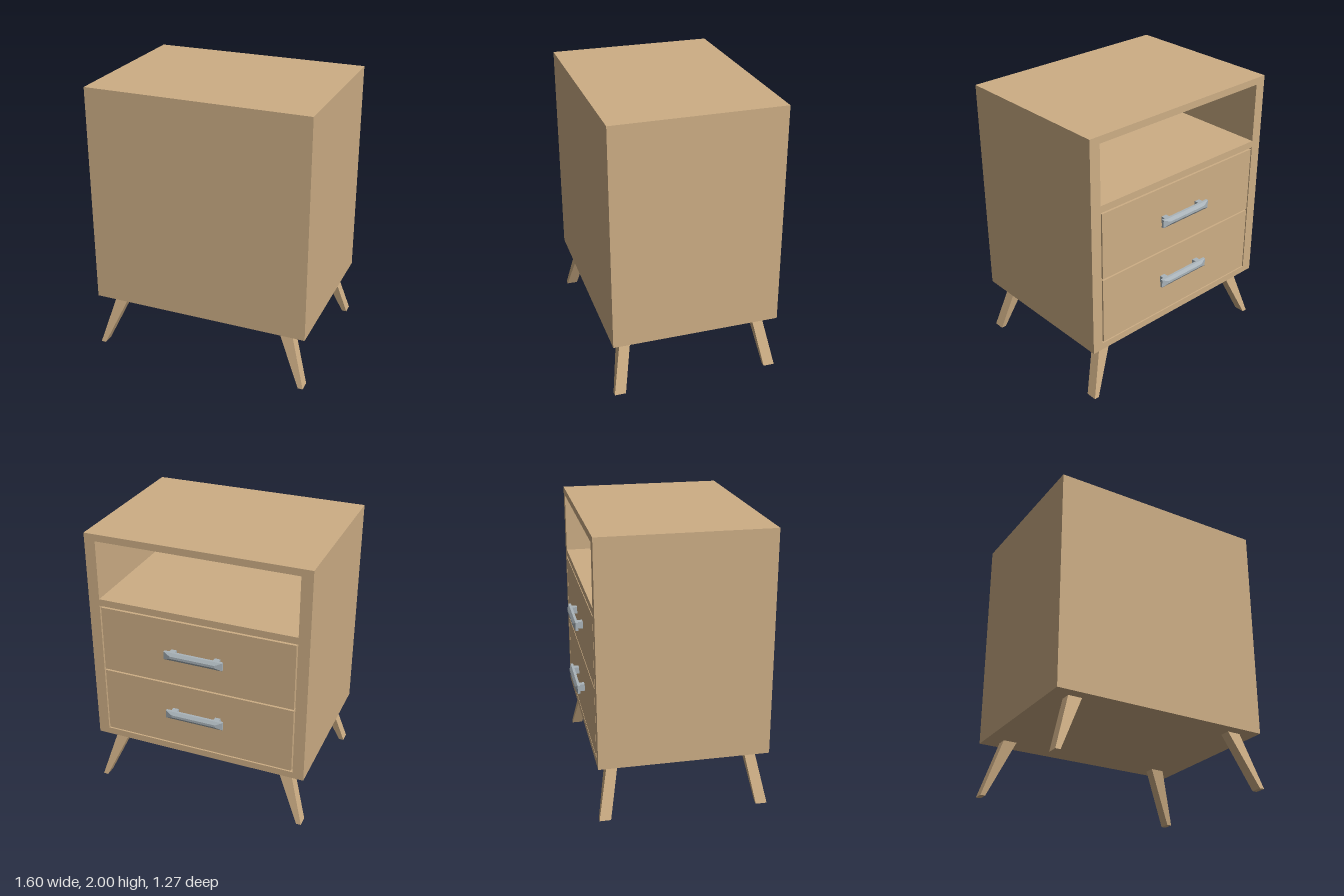
import * as THREE from 'three';

const wood = new THREE.MeshStandardMaterial({ color: 0xcdae85 });
wood.name = 'wood';
const metal = new THREE.MeshStandardMaterial({ color: 0xaab4ba });
metal.name = 'metal';

// Box given by its limits on each axis
function box(name, material, x0, x1, y0, y1, z0, z1) {
  const mesh = new THREE.Mesh(new THREE.BoxGeometry(x1 - x0, y1 - y0, z1 - z0), material);
  mesh.position.set((x0 + x1) / 2, (y0 + y1) / 2, (z0 + z1) / 2);
  mesh.name = name;
  return mesh;
}

// Box whose eight corners are moved by a rule taking signs (-1 or 1)
function cornerBox(name, material, rule) {
  const geometry = new THREE.BoxGeometry(2, 2, 2).toNonIndexed();
  const p = geometry.attributes.position;
  for (let i = 0; i < p.count; i++) p.setXYZ(i, ...rule(p.getX(i), p.getY(i), p.getZ(i)));
  geometry.computeVertexNormals();
  const mesh = new THREE.Mesh(geometry, material);
  mesh.name = name;
  return mesh;
}

function rectPoints(x0, x1, y0, y1) {
  return [[x0, y0], [x1, y0], [x1, y1], [x0, y1]].map(([x, y]) => new THREE.Vector2(x, y));
}

// Pull handle: two posts and a bar with a bevelled outer face
function makeHandle(y) {
  const handle = new THREE.Group();
  handle.name = 'handle';
  for (const s of [-1, 1]) {
    handle.add(box('handlePost', metal, s * 0.161 - 0.021, s * 0.161 + 0.021, -0.025, 0.025, -0.602, -0.56));
  }
  handle.add(box('handleBar', metal, -0.215, 0.215, -0.03, 0.03, -0.62, -0.602));
  handle.add(cornerBox('handleBevel', metal, (x, v, z) => (z < 0
    ? [x * 0.165, v * 0.009, -0.635]
    : [x * 0.215, v * 0.03, -0.62])));
  handle.position.y = y;
  return handle;
}

export function createModel() {
  const model = new THREE.Group();
  model.name = 'nightstand';

  // Case: open frame and closed panel on the far side
  const frame = new THREE.Shape(rectPoints(-0.8, 0.8, 0.4, 2));
  frame.holes.push(new THREE.Path(rectPoints(-0.72, 0.72, 0.45, 1.95).reverse()));
  const caseMesh = new THREE.Mesh(
    new THREE.ExtrudeGeometry(frame, { depth: 1.14, bevelEnabled: false }), wood);
  caseMesh.position.z = -0.565;
  caseMesh.name = 'caseFrame';
  model.add(caseMesh);
  model.add(box('closedPanel', wood, -0.8, 0.8, 0.4, 2, 0.575, 0.635));
  model.add(box('shelf', wood, -0.72, 0.72, 1.47, 1.52, -0.565, 0.575));

  // Two drawers with narrow gaps around them, and their handles
  for (const [y0, y1, handleY] of [[0.46, 0.955, 0.735], [0.967, 1.458, 1.215]]) {
    model.add(box('drawer', wood, -0.71, 0.71, y0, y1, -0.565, 0.5));
    model.add(makeHandle(handleY));
  }

  // Splayed legs, tapering towards the foot
  for (const sx of [-1, 1]) {
    for (const sz of [-1, 1]) {
      const leg = cornerBox('leg', wood, (x, y, z) => {
        const top = y > 0;
        const cx = top ? 0.63 : 0.782;
        const hx = top ? 0.05 : 0.018;
        const cz = top ? 0.483 : 0.56;
        const hz = top ? 0.038 : 0.04;
        return [sx * cx + x * hx, top ? 0.4 : 0, 0.035 + sz * cz + z * hz];
      });
      model.add(leg);
    }
  }
  return model;
}
